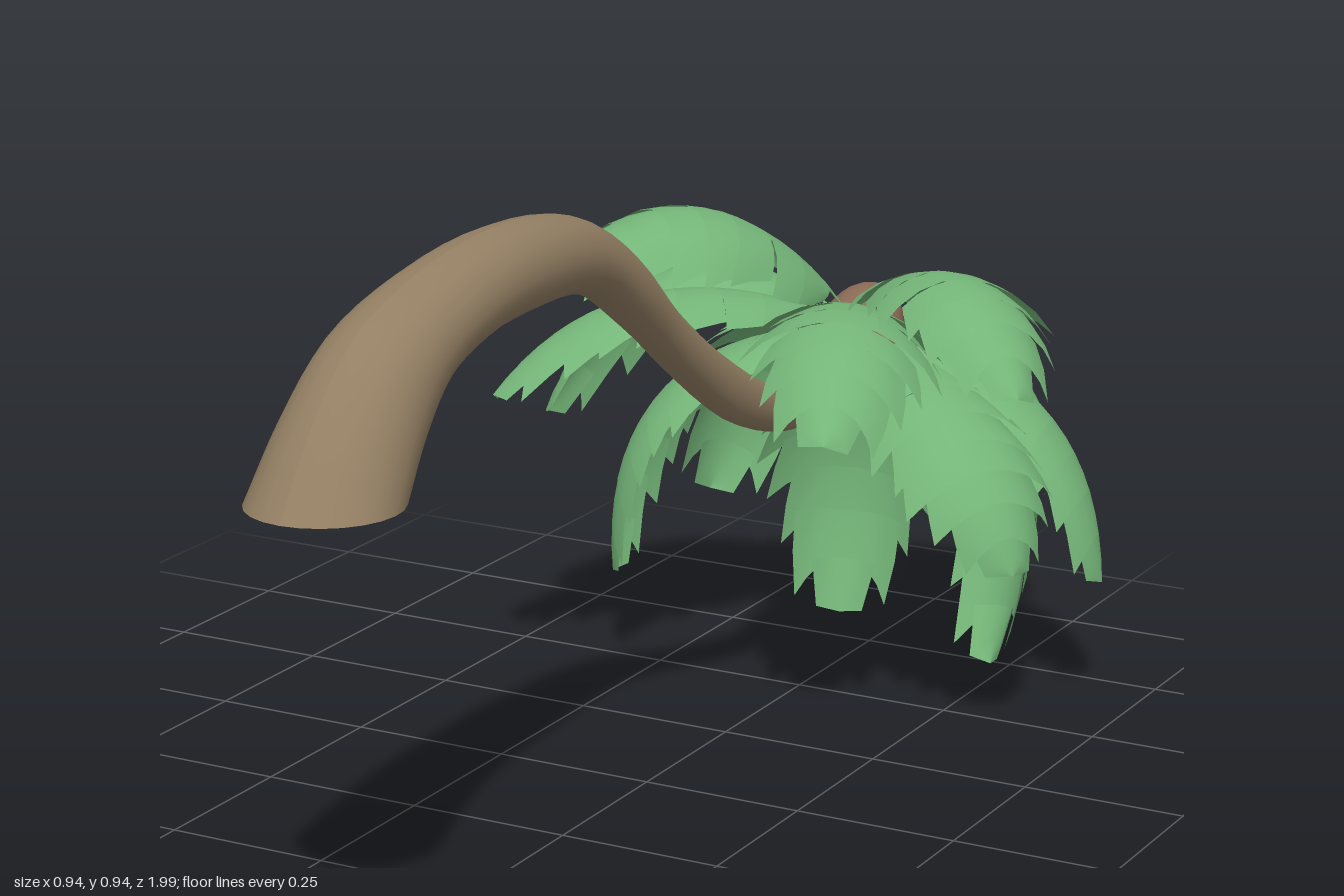
import * as THREE from 'three';

const V = (x, y, z) => new THREE.Vector3(x, y, z);
const bark = new THREE.MeshStandardMaterial({ color: 0x937f63, side: THREE.DoubleSide });
const budBrown = new THREE.MeshStandardMaterial({ color: 0x8a6a56 });
const leafGreen = new THREE.MeshStandardMaterial({ color: 0x74b578, side: THREE.DoubleSide });

// Joins rows of points into one smooth sheet; rows listed in `gaps` are not joined to the row before.
function sheet(rows, material, name, gaps = new Set()) {
  const n = rows[0].length, index = [];
  for (let i = 1; i < rows.length; i++) {
    if (gaps.has(i)) continue;
    for (let j = 0; j < n - 1; j++) {
      const a = (i - 1) * n + j, b = a + n;
      index.push(a, a + 1, b, a + 1, b + 1, b);
    }
  }
  const geometry = new THREE.BufferGeometry().setFromPoints(rows.flat());
  geometry.setIndex(index);
  geometry.computeVertexNormals();
  const mesh = new THREE.Mesh(geometry, material);
  mesh.name = name;
  return mesh;
}

// Bent trunk: each ring is an ellipse between an upper and a lower edge point.
function makeTrunk() {
  // upper z, upper y, lower z, lower y, half width
  const rings = [
    [1.0, 0.67, 0.79, 0.67, 0.105],
    [0.92, 0.78, 0.73, 0.73, 0.093],
    [0.82, 0.87, 0.66, 0.78, 0.083],
    [0.65, 0.925, 0.56, 0.806, 0.073],
    [0.45, 0.943, 0.44, 0.815, 0.065],
    [0.27, 0.918, 0.24, 0.80, 0.054],
    [0.13, 0.845, 0.08, 0.705, 0.045],
    [0, 0.735, -0.04, 0.615, 0.036],
    [-0.16, 0.625, -0.2, 0.51, 0.033],
    [-0.35, 0.53, -0.37, 0.452, 0.033],
    [-0.47, 0.53, -0.47, 0.45, 0.035],
    [-0.58, 0.57, -0.55, 0.47, 0.042],
    [-0.64, 0.6, -0.62, 0.52, 0.04],
  ];
  const spine = new THREE.CatmullRomCurve3(
    rings.map(([uz, uy, lz, ly]) => V(0.028, (uy + ly) / 2, (uz + lz) / 2)));
  const reach = new THREE.CatmullRomCurve3(
    rings.map(([uz, uy, lz, ly, w]) => V(w, (uy - ly) / 2, (uz - lz) / 2)));
  const rows = [];
  for (let i = 0; i <= 48; i++) {
    const c = spine.getPoint(i / 48), r = reach.getPoint(i / 48), row = [];
    for (let j = 0; j <= 24; j++) {
      const a = (j / 24) * Math.PI * 2;
      row.push(V(c.x + r.x * Math.sin(a), c.y + r.y * Math.cos(a), c.z + r.z * Math.cos(a)));
    }
    rows.push(row);
  }
  return sheet(rows, bark, 'trunk');
}

// Blade outline: widens quickly from the stem, then narrows to a pointed tip.
function outline(u) {
  const peak = 0.3;
  return u < peak
    ? Math.pow(Math.sin((0.08 + 0.92 * u / peak) * Math.PI / 2), 0.45)
    : Math.pow(1 - ((u - peak) / (1 - peak)) ** 2, 0.72);
}

// Arched frond through root, middle and tip, with a domed blade and notched edges.
function makeFrond(root, middle, tip, halfWidth, seed) {
  const chord = root.clone().add(tip).multiplyScalar(0.5);
  const bulge = middle.clone().sub(chord);
  const control = middle.clone().add(bulge);
  const path = new THREE.QuadraticBezierCurve3(root, control, tip);
  const side = tip.clone().sub(root).cross(bulge).normalize();
  const rows = [], gaps = new Set(), leaflets = 8, start = 0.12;

  const addRow = (t, width, sweep) => {
    const row = [];
    for (let j = -4; j <= 4; j++) {
      const s = j / 4;
      const u = Math.min(1, t + sweep * s * s);
      const out = side.clone().cross(path.getTangent(u)).normalize();
      if (out.dot(bulge) < 0) out.negate();
      row.push(path.getPoint(u)
        .addScaledVector(side, s * width * (1 - 0.1 * s * s))
        .addScaledVector(out, -0.42 * width * s * s));
    }
    rows.push(row);
  };

  // stem
  addRow(0, 0.007, 0);
  addRow(start, 0.007, 0);
  // blade, one leaflet at a time
  for (let k = 0; k < leaflets; k++) {
    if (k !== 1) gaps.add(rows.length);
    for (let m = 0; m <= 2; m++) {
      const u = (k + m / 2) / leaflets;
      const tooth = k < 2 ? 1 : 0.8 + 0.13 * m + 0.05 * Math.sin(seed * 7 + k * 2.3);
      const sweep = k < 2 ? 0.02 : 0.01 + 0.04 * m;
      addRow(start + (1 - start) * u, halfWidth * outline(u) * tooth, sweep);
    }
  }
  return sheet(rows, leafGreen, 'frond', gaps);
}

export function createModel() {
  const model = new THREE.Group();
  model.name = 'palmTree';
  model.add(makeTrunk());

  // bud at the crown
  const bud = new THREE.Mesh(new THREE.SphereGeometry(1, 20, 14), budBrown);
  bud.name = 'bud';
  bud.scale.set(0.066, 0.1, 0.066);
  bud.rotation.x = -1;
  bud.position.set(0.026, 0.54, -0.64);
  model.add(bud);

  // fronds: middle point, tip point, half width
  const fronds = [
    [V(-0.11, 0.765, -0.42), V(-0.29, 0.69, -0.22), 0.16],
    [V(0.15, 0.65, -0.36), V(0.23, 0.52, -0.11), 0.165],
    [V(0.28, 0.71, -0.45), V(0.46, 0.58, -0.28), 0.155],
    [V(-0.22, 0.63, -0.42), V(-0.39, 0.49, -0.22), 0.15],
    [V(-0.27, 0.625, -0.61), V(-0.465, 0.385, -0.51), 0.165],
    [V(-0.255, 0.45, -0.53), V(-0.32, 0.15, -0.47), 0.155],
    [V(0.3, 0.48, -0.45), V(0.42, 0.28, -0.37), 0.155],
    [V(0.32, 0.46, -0.68), V(0.45, 0.2, -0.64), 0.17],
    [V(0.19, 0.34, -0.83), V(0.22, 0, -0.74), 0.155],
    [V(-0.06, 0.36, -0.82), V(-0.07, 0.03, -0.78), 0.165],
    [V(0.13, 0.475, -0.905), V(0.15, 0.13, -0.99), 0.17],
    [V(-0.19, 0.48, -0.81), V(-0.32, 0.2, -0.8), 0.16],
  ];
  const crown = new THREE.Group();
  crown.name = 'crown';
  const root = V(0.03, 0.56, -0.63);
  fronds.forEach(([middle, tip, width], i) => crown.add(makeFrond(root, middle, tip, width, i)));
  model.add(crown);
  return model;
}
